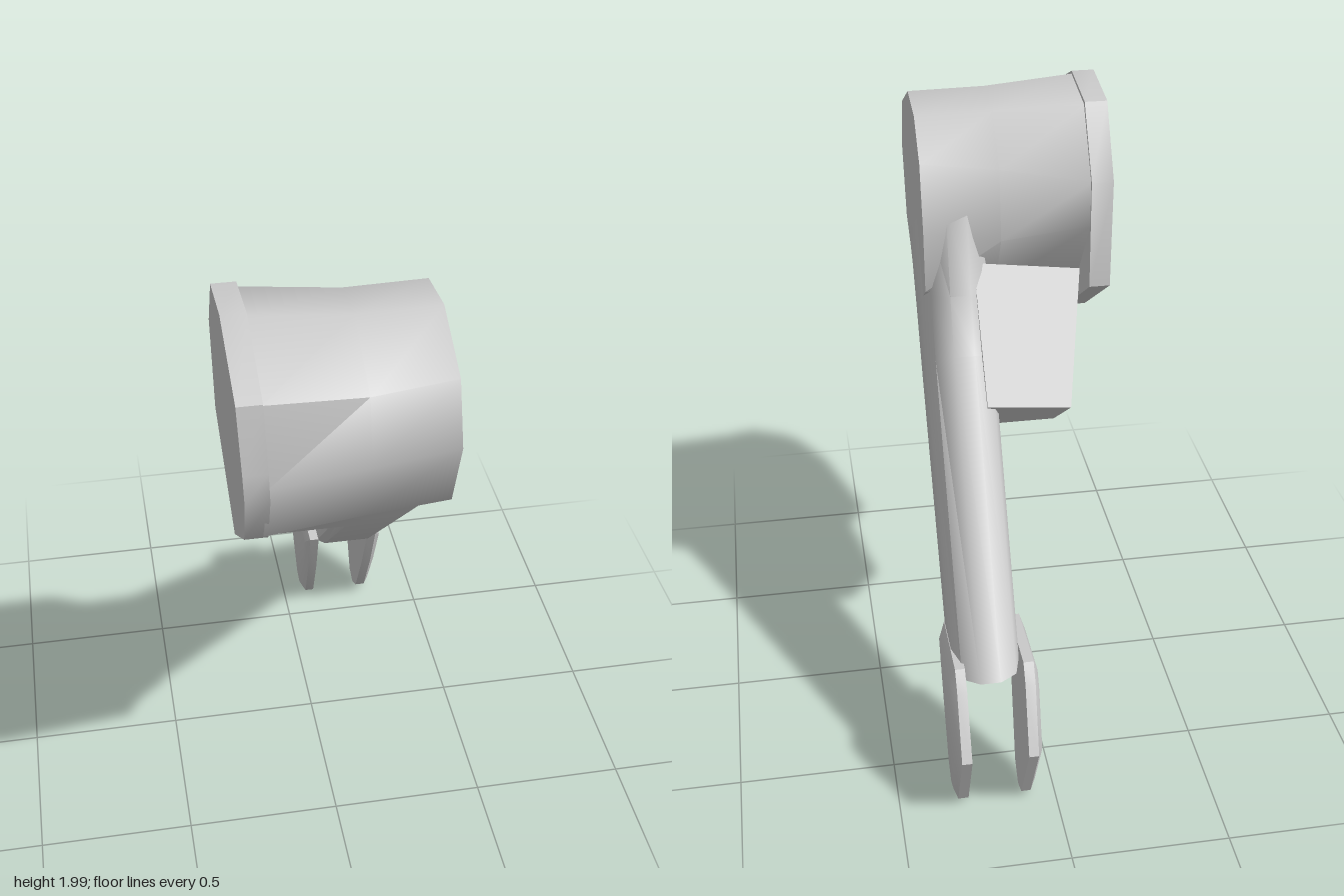
import * as THREE from 'three';
import { toCreasedNormals } from 'three/addons/utils/BufferGeometryUtils.js';

const material = new THREE.MeshStandardMaterial({ color: 0xcccccc });

// Closed skin over rings of [x, y, z] points, with both ends capped
function loft(name, rings, crease = 0.85) {
  const n = rings[0].length;
  const points = rings.flat();
  const index = [];
  for (let r = 0; r < rings.length - 1; r++) {
    for (let i = 0; i < n; i++) {
      const a = r * n + i, b = r * n + (i + 1) % n;
      index.push(a, b, b + n, a, b + n, a + n);
    }
  }
  for (const r of [0, rings.length - 1]) {
    const centre = [0, 1, 2].map(k => rings[r].reduce((sum, p) => sum + p[k], 0) / n);
    const c = points.push(centre) - 1;
    for (let i = 0; i < n; i++) {
      const a = r * n + i, b = r * n + (i + 1) % n;
      index.push(...(r === 0 ? [c, b, a] : [c, a, b]));
    }
  }
  // Turn the skin outward if its volume comes out negative
  const v = points.map(p => new THREE.Vector3(...p));
  let volume = 0;
  for (let i = 0; i < index.length; i += 3) {
    volume += v[index[i]].dot(v[index[i + 1]].clone().cross(v[index[i + 2]]));
  }
  if (volume < 0) index.reverse();
  const geometry = new THREE.BufferGeometry().setFromPoints(v);
  geometry.setIndex(index);
  const mesh = new THREE.Mesh(toCreasedNormals(geometry, crease), material);
  mesh.name = name;
  return mesh;
}

// Side profile of [z, y] points placed at x, which may depend on y and z
const at = (x, profile) => profile.map(([z, y]) => [typeof x === 'function' ? x(y, z) : x, y, z]);

// Profile shrunk about its middle
function shrink(profile, s) {
  const mz = profile.reduce((sum, p) => sum + p[0], 0) / profile.length;
  const my = profile.reduce((sum, p) => sum + p[1], 0) / profile.length;
  return profile.map(([z, y]) => [mz + (z - mz) * s, my + (y - my) * s]);
}

// Rounded arm section between a lower and an upper [z, y] edge, from x0 to x1
function armRing([lz, ly], [uz, uy], x0, x1) {
  const corners = [[0, 0.12], [0, 0.88], [0.08, 1], [0.6, 1], [0.88, 0.9],
    [1, 0.65], [1, 0.35], [0.88, 0.1], [0.6, 0], [0.08, 0]];
  return corners.map(([t, s]) => [x0 + (x1 - x0) * s, ly + (uy - ly) * t, lz + (uz - lz) * t]);
}

export function createModel() {
  const model = new THREE.Group();

  // Shoulder drum, slightly waisted, sweeping into the arm at its left end
  model.add(loft('drum', [
    at(-0.26, [[0.5, 1.99], [0.29, 1.96], [0.13, 1.76], [0.11, 1.62], [0.3, 1.33],
      [0.5, 1.31], [0.62, 1.33], [0.74, 1.43], [0.8, 1.63], [0.75, 1.87]]),
    at(0.03, [[0.5, 1.965], [0.32, 1.945], [0.18, 1.8], [0.15, 1.57], [0.3, 1.34],
      [0.48, 1.33], [0.61, 1.37], [0.72, 1.45], [0.785, 1.66], [0.73, 1.85]]),
    at(0.28, [[0.49, 1.965], [0.31, 1.945], [0.19, 1.83], [0.14, 1.62], [0.13, 1.42],
      [0.42, 1.23], [0.58, 1.38], [0.69, 1.45], [0.767, 1.68], [0.7, 1.86]]),
  ]));

  // Side plate with a pointed lower edge
  const plate = [[0.5, 2], [0.28, 1.97], [0.12, 1.76], [0.08, 1.42], [0.42, 1.19],
    [0.72, 1.41], [0.81, 1.6], [0.805, 1.69], [0.76, 1.88]];
  model.add(loft('sidePlate', [
    at(y => -0.305 - 0.035 * (y - 1.19), plate),
    at(y => -0.24 - 0.025 * (y - 1.19), plate),
  ], 0.6));

  // Short tapered stub beside the arm
  model.add(loft('stub', [
    [[-0.24, 1.23, 0.42], [-0.225, 1.46, 0.14], [0.12, 1.5, 0.15], [0.12, 1.23, 0.42]],
    [[-0.14, 0.92, 0.11], [-0.15, 1.1, -0.13], [0.12, 1.125, -0.13], [0.12, 0.92, 0.11]],
  ], 0.5));

  // Long arm
  model.add(loft('arm', [
    armRing([0.62, 1.43], [0.16, 1.68], 0.06, 0.282),
    armRing([0.43, 1.235], [0.08, 1.42], 0.06, 0.285),
    armRing([0.25, 1.06], [-0.03, 1.26], 0.066, 0.29),
    armRing([-0.38, 0.45], [-0.675, 0.46], 0.092, 0.305),
  ]));

  // Fork prongs with chamfered outer faces
  const prong = [[-0.37, 0.48], [-0.47, 0.26], [-0.585, 0.05], [-0.65, 0.01],
    [-0.71, 0.03], [-0.805, 0.26], [-0.69, 0.45], [-0.64, 0.5]];
  const lean = (x, amount) => y => x + amount * (0.48 - y) / 0.46;
  model.add(loft('rightProng', [
    at(lean(0.045, 0.02), shrink(prong, 0.84)),
    at(lean(0.06, 0.02), prong),
    at(lean(0.092, 0.018), prong),
  ], 0.7));
  model.add(loft('leftProng', [
    at(lean(0.275, 0.006), prong),
    at(lean(0.306, 0.008), prong),
    at(lean(0.328, 0), shrink(prong, 0.84)),
  ], 0.7));

  return model;
}
